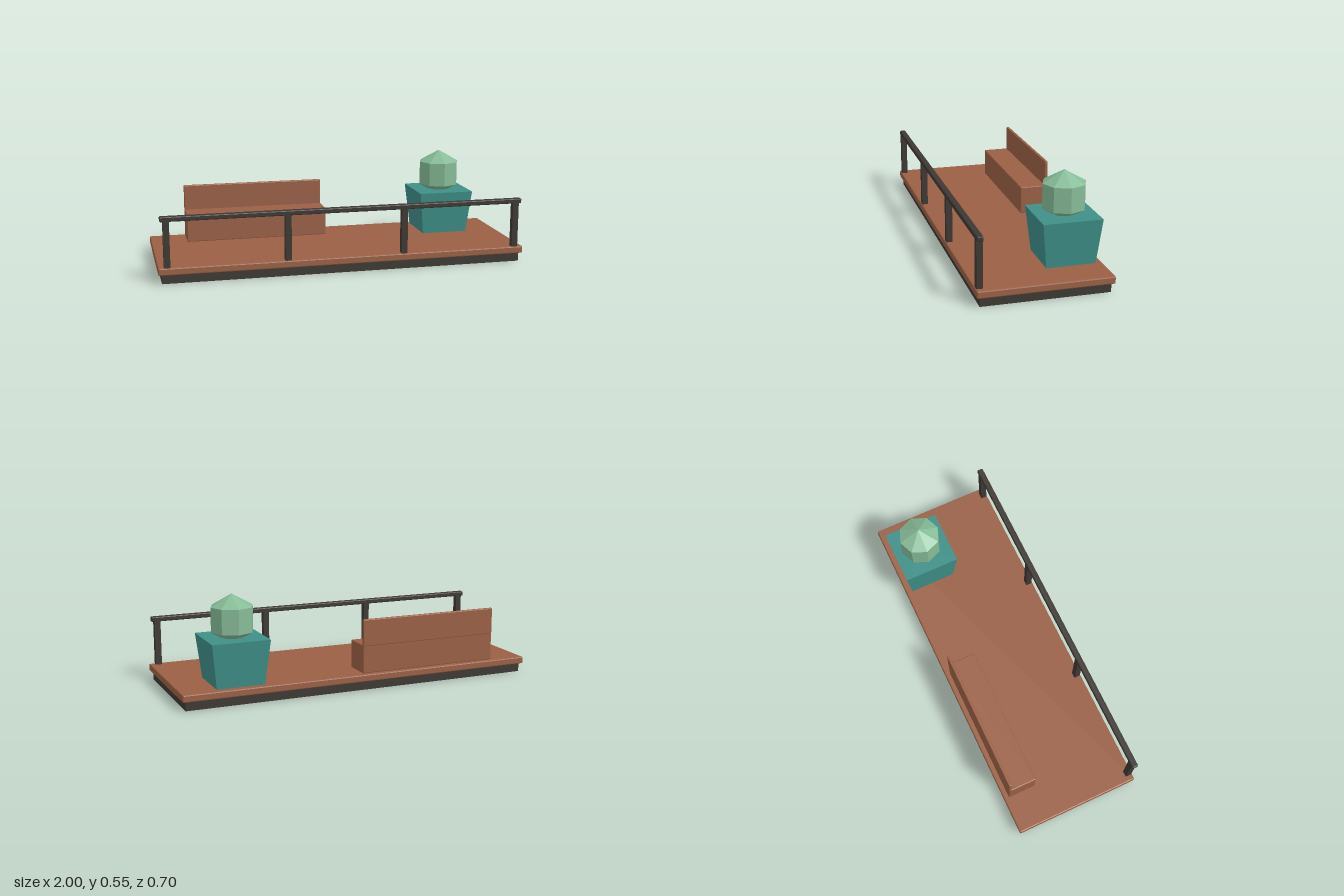
import * as THREE from 'three';
import { RoundedBoxGeometry } from 'three/addons/geometries/RoundedBoxGeometry.js';

const paint = (color) => new THREE.MeshStandardMaterial({ color, flatShading: true });

export function createModel() {
  const model = new THREE.Group();
  model.name = 'terrace';
  const wood = paint(0x9a6045);
  const metal = paint(0x3d3833);
  const glaze = paint(0x3f9089);
  const leaf = paint(0x86bb97);

  const add = (name, geometry, material, parent = model) => {
    const mesh = new THREE.Mesh(geometry, material);
    mesh.name = name;
    parent.add(mesh);
    return mesh;
  };

  // Box given by its [min, max] on each axis, with softened edges when edge > 0
  const block = (name, [x0, x1], [y0, y1], [z0, z1], material, edge = 0, parent = model) => {
    const size = [x1 - x0, y1 - y0, z1 - z0];
    const geometry = edge
      ? new RoundedBoxGeometry(...size, 1, edge)
      : new THREE.BoxGeometry(...size);
    geometry.translate((x0 + x1) / 2, (y0 + y1) / 2, (z0 + z1) / 2);
    return add(name, geometry, material, parent);
  };

  const group = (name) => {
    const g = new THREE.Group();
    g.name = name;
    model.add(g);
    return g;
  };

  // Platform
  block('base', [-0.982, 0.982], [0, 0.048], [-0.333, 0.333], metal);
  block('deck', [-1, 1], [0.048, 0.087], [-0.35, 0.35], wood, 0.006);

  // Front railing
  const railing = group('railing');
  for (const x of [-0.953, -0.318, 0.318, 0.953]) {
    block('railPost', [x - 0.0165, x + 0.0165], [0.085, 0.335], [0.312, 0.345], metal, 0, railing);
  }
  block('handrail', [-0.985, 0.985], [0.33, 0.357], [0.312, 0.345], metal, 0.005, railing);

  // Bench with backrest
  const bench = group('bench');
  block('seat', [-0.8, -0.003], [0.086, 0.242], [-0.323, -0.165], wood, 0.005, bench);
  block('backrest', [-0.8, -0.003], [0.235, 0.383], [-0.325, -0.307], wood, 0.005, bench);

  // Tapered square planter with a faceted shrub
  const planter = group('planter');
  planter.position.set(0.682, 0, -0.183);
  const pot = new THREE.CylinderGeometry(0.156 * Math.SQRT2, 0.13 * Math.SQRT2, 0.241, 4);
  pot.rotateY(Math.PI / 4);
  pot.translate(0, 0.2065, 0);
  add('pot', pot, glaze, planter);
  const shrub = new THREE.SphereGeometry(0.132, 8, 3);
  shrub.translate(0, 0.421, 0);
  add('shrub', shrub, leaf, planter);

  return model;
}
